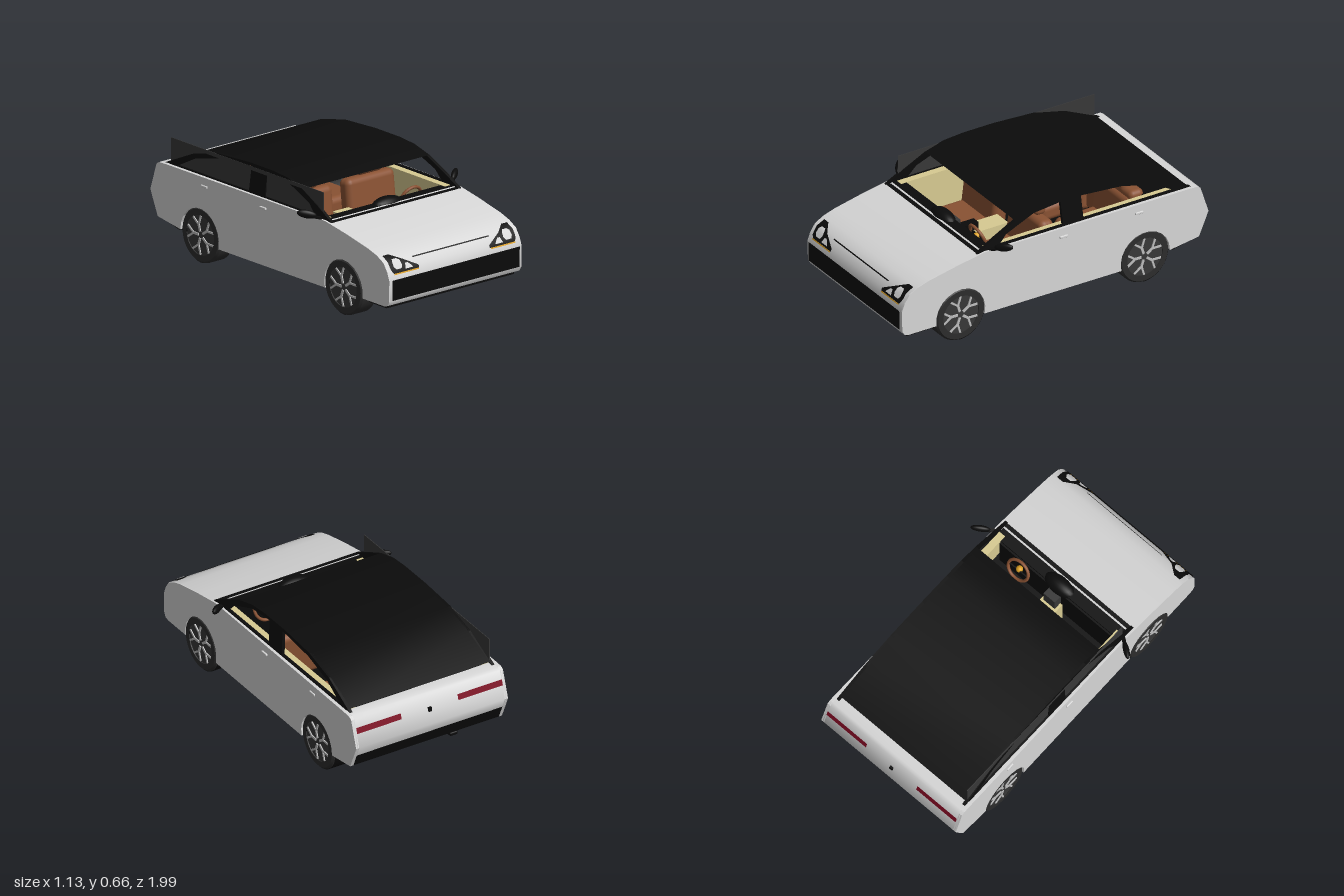
import * as THREE from 'three';
import { toCreasedNormals } from 'three/addons/utils/BufferGeometryUtils.js';
import { RoundedBoxGeometry } from 'three/addons/geometries/RoundedBoxGeometry.js';

const mat = (name, color) => {
  const m = new THREE.MeshStandardMaterial({ color, side: THREE.DoubleSide });
  m.name = name;
  return m;
};
const M = {
  paint: mat('silverPaint', 0xd6d6d6), black: mat('glossBlack', 0x0b0b0b),
  glass: mat('darkGrey', 0x383838), tyre: mat('tyreRubber', 0x2c2c2c),
  brown: mat('brownLeather', 0x8a5233), cream: mat('creamTrim', 0xd8cb92),
  amber: mat('amber', 0xdca024), red: mat('tailRed', 0x7d0a22), metal: mat('wheelSilver', 0xbdbdbd),
};

// Body outline as [z, y]
const FRONT = [[0.93, 0.128], [0.955, 0.135], [0.97, 0.16], [0.972, 0.28], [0.955, 0.325], [0.925, 0.37],
  [0.87, 0.4], [0.8, 0.422], [0.62, 0.46], [0.45, 0.49]];
const REAR = [[-0.84, 0.49], [-0.9, 0.488], [-0.92, 0.475], [-0.97, 0.32], [-0.945, 0.26], [-0.91, 0.18]];
const ROOF = [[0.24, 0.612], [0.12, 0.645], [0, 0.655], [-0.2, 0.655], [-0.45, 0.64], [-0.65, 0.592], [-0.85, 0.5]];

const zAt = (profile, y) => {
  for (let i = 1; i < profile.length; i++) {
    const [z0, y0] = profile[i - 1], [z1, y1] = profile[i];
    if ((y - y0) * (y - y1) <= 0 && y0 !== y1) return z0 + (z1 - z0) * (y - y0) / (y1 - y0);
  }
  return profile[0][0];
};

export function createModel() {
  const root = new THREE.Group();
  root.name = 'car';
  const car = new THREE.Group();
  car.name = 'carBody';
  car.rotation.y = 0.046;
  car.position.x = -0.02;
  root.add(car);

  const add = (name, geo, material, pos = [0, 0, 0], parent = car) => {
    const m = new THREE.Mesh(geo, material);
    m.name = name;
    m.position.set(...pos);
    parent.add(m);
    return m;
  };
  const box = (name, material, size, pos, parent) => add(name, new THREE.BoxGeometry(...size), material, pos, parent);
  const soft = (name, material, size, pos, r = 0.02) => add(name, new RoundedBoxGeometry(...size, 3, r), material, pos);

  // Skin spanning x0..x1 through rows of [z, y, x0, x1]
  const strip = (name, material, rows) => {
    const g = new THREE.PlaneGeometry(1, 1, 1, rows.length - 1), p = g.attributes.position;
    rows.forEach(([z, y, x0, x1], i) => {
      p.setXYZ(i * 2, x0, y, z);
      p.setXYZ(i * 2 + 1, x1, y, z);
    });
    return add(name, toCreasedNormals(g, 0.75), material);
  };
  const skin = (name, material, pts, w) => strip(name, material, pts.map(([z, y]) => [z, y, -w, w]).reverse());
  // Thin detail lying on the nose or tail: rows of [y, x0, x1]
  const patch = (name, material, profile, rows, off) =>
    strip(name, material, rows.map(([y, a, b]) => [zAt(profile, y) + off, y, a, b]));
  // Side plate cut from a [z, y] outline
  const plate = (pts, depth, holes = []) => {
    const vec = a => a.map(q => new THREE.Vector2(...q));
    const s = new THREE.Shape(vec(pts));
    holes.forEach(h => s.holes.push(new THREE.Path(vec(h))));
    return new THREE.ExtrudeGeometry(s, { depth, bevelEnabled: false }).translate(0, 0, -depth / 2).rotateY(-Math.PI / 2);
  };

  // Outer shell
  skin('bonnetAndNose', M.paint, FRONT, 0.462);
  skin('tailPanel', M.paint, REAR.slice(0, 5).reverse(), 0.472);
  skin('rearBumper', M.black, [[-0.75, 0.14], ...REAR.slice(4).reverse()], 0.468);
  box('floor', M.black, [0.91, 0.01, 1.7], [0, 0.145, 0.05]);
  box('frontUndertray', M.black, [0.9, 0.03, 0.14], [0, 0.128, 0.86]);

  // Side panels with wheel arches
  const arch = (zc, a0, a1) => Array.from({ length: 13 }, (_, i) => {
    const a = a0 + (a1 - a0) * i / 12;
    return [zc + 0.156 * Math.cos(a), 0.152 + 0.156 * Math.sin(a)];
  });
  const outline = [...[...FRONT].reverse(), ...arch(0.6, -0.15, Math.PI + 0.24), ...arch(-0.57, -0.24, Math.PI),
    ...[...REAR].reverse()];
  const frame = [[0.49, 0.485], [0.38, 0.545], ...ROOF, [-0.88, 0.485]];
  const windows = [
    [[0.35, 0.497], [0.3, 0.55], [0.12, 0.622], [-0.05, 0.638], [-0.06, 0.497]],
    [[-0.19, 0.497], [-0.18, 0.638], [-0.44, 0.617], [-0.64, 0.565], [-0.77, 0.497]]];
  for (const s of [1, -1]) {
    const side = add('sidePanel', plate(outline, 0.02), M.paint, [s * 0.465, 0, 0]);
    side.rotation.y = -s * 0.007;

    // Window frame leaning inwards
    const g = plate(frame, 0.018, windows), p = g.attributes.position;
    for (let i = 0; i < p.count; i++) p.setX(i, p.getX(i) - s * (p.getY(i) - 0.49) * 0.08);
    g.computeVertexNormals();
    add('windowFrame', g, M.black, [s * 0.45, 0, 0]);

    // Door linings, handles
    box('doorLining', M.cream, [0.05, 0.16, 1.26], [s * 0.425, 0.41, -0.21]);
    box('sillLining', M.cream, [0.012, 0.22, 0.82], [s * 0.448, 0.229, 0.015]);
    for (const z of [-0.05, -0.53]) soft('doorHandle', M.paint, [0.012, 0.014, 0.05], [s * 0.48, 0.44, z], 0.004);

    // Mirrors
    const mirror = new THREE.Group();
    mirror.name = 'wingMirror';
    mirror.position.set(s * 0.455, 0.492, 0.41);
    mirror.rotation.set(0, s * 0.65, s * 0.2);
    car.add(mirror);
    box('mirrorArm', M.black, [0.07, 0.012, 0.02], [s * 0.025, 0, 0], mirror);
    add('mirrorShell', new THREE.SphereGeometry(1, 20, 12), M.black, [s * 0.088, 0.008, 0], mirror).scale.set(0.055, 0.023, 0.017);

    // Headlights
    const lamp = (name, m, rows, off) => patch(name, m, FRONT, rows.map(([y, a, b]) => [y, s * a, s * b]), off);
    lamp('headlight', M.black, [[0.395, 0.4, 0.44], [0.37, 0.34, 0.442], [0.345, 0.29, 0.442], [0.325, 0.25, 0.438], [0.31, 0.25, 0.425]], 0.004);
    lamp('mainLamp', M.paint, [[0.378, 0.375, 0.405], [0.37, 0.362, 0.416], [0.345, 0.358, 0.418], [0.33, 0.37, 0.406]], 0.008);
    lamp('innerLamp', M.paint, [[0.35, 0.318, 0.335], [0.335, 0.3, 0.34], [0.323, 0.29, 0.345]], 0.008);
    lamp('indicator', M.amber, [[0.311, 0.255, 0.428], [0.304, 0.255, 0.428]], 0.006);

    // Tail lights
    patch('tailLight', M.red, REAR, [[0.43, s * 0.18, s * 0.462], [0.398, s * 0.18, s * 0.462]], -0.005);
  }
  patch('grille', M.black, FRONT, [[0.28, -0.45, 0.45], [0.165, -0.45, 0.45]], 0.006);
  patch('bonnetSeam', M.black, FRONT, [[0.37, -0.27, 0.27], [0.364, -0.27, 0.27]], 0.004);
  box('bootHandle', M.black, [0.02, 0.025, 0.012], [0, 0.4, -0.947]);
  soft('exhaust', M.black, [0.05, 0.022, 0.07], [-0.2, 0.14, -0.84], 0.008);

  // Roof, rear window and single side glass
  skin('roof', M.black, ROOF, 0.44);
  box('sideGlass', M.glass, [0.004, 0.15, 1.25], [-0.447, 0.561, -0.215]);

  // Wheels
  const tyreProfile = [[0.112, -0.057], [0.145, -0.057], [0.155, -0.045], [0.155, 0.045], [0.145, 0.057], [0.112, 0.057]];
  const tyreGeo = toCreasedNormals(new THREE.LatheGeometry(tyreProfile.map(q => new THREE.Vector2(...q)), 48).rotateX(Math.PI / 2), 0.6);
  for (const s of [1, -1]) for (const z of [0.6, -0.57]) {
    const wheel = new THREE.Group();
    wheel.name = 'wheel';
    wheel.position.set(s * 0.417, 0.155, z);
    wheel.rotation.y = s * Math.PI / 2;
    car.add(wheel);
    add('tyre', tyreGeo, M.tyre, [0, 0, 0], wheel);
    add('rimDisc', new THREE.CylinderGeometry(0.114, 0.114, 0.1, 40).rotateX(Math.PI / 2), M.glass, [0, 0, 0], wheel);
    for (let i = 0; i < 5; i++) {
      const spoke = new THREE.Group();
      spoke.name = 'spoke';
      spoke.rotation.z = i * Math.PI * 0.4 + 0.3;
      wheel.add(spoke);
      box('spokeStem', M.metal, [0.014, 0.045, 0.012], [0, 0.042, 0.05], spoke);
      for (const k of [1, -1])
        box('spokeFork', M.metal, [0.011, 0.056, 0.012], [k * 0.017, 0.083, 0.05], spoke).rotation.z = -k * 0.62;
    }
    add('wheelArchLiner', new THREE.CylinderGeometry(0.157, 0.157, 0.12, 28, 1, true, 0, Math.PI)
      .rotateZ(Math.PI / 2).rotateX(-Math.PI / 2 + (0)).rotateX(Math.PI / 2).rotateX(-Math.PI / 2), M.black, [s * 0.4, 0.152, z]).rotation.x = 0;
  }

  // Dashboard, console and steering wheel
  box('dashboard', M.black, [0.8, 0.26, 0.1], [0, 0.345, 0.425]);
  box('cowl', M.black, [0.88, 0.012, 0.1], [0, 0.482, 0.435]);
  add('dashHump', new THREE.SphereGeometry(1, 24, 12), M.black, [0, 0.475, 0.41]).scale.set(0.1, 0.045, 0.05);
  box('console', M.cream, [0.11, 0.2, 0.34], [0, 0.25, 0.2]);
  box('consoleScreen', M.glass, [0.08, 0.1, 0.05], [0, 0.4, 0.35]);
  box('gearSelector', M.black, [0.05, 0.04, 0.1], [0, 0.37, 0.25]);
  add('steeringRim', new THREE.TorusGeometry(0.068, 0.009, 10, 32), M.brown, [0.23, 0.445, 0.335]).rotation.x = 0.4;
  add('steeringHub', new THREE.SphereGeometry(0.02, 16, 10), M.amber, [0.23, 0.445, 0.345]);
  box('steeringSpoke', M.black, [0.12, 0.016, 0.008], [0.23, 0.445, 0.335]);

  // Seats
  for (const s of [1, -1]) {
    for (const [z, top] of [[0, 0.5], [-0.55, 0.475]]) {
      soft('seatCushion', M.brown, [0.33, 0.1, 0.3], [s * 0.22, 0.25, z + 0.15], 0.035);
      soft('seatBack', M.brown, [0.34, top - 0.2, 0.09], [s * 0.22, (top + 0.2) / 2, z + 0.005], 0.035).rotation.x = -0.12;
      soft('headrest', M.brown, [0.175, 0.065, 0.07], [s * 0.227, top + 0.033, z - 0.015], 0.025);
    }
  }
  soft('rearBench', M.brown, [0.78, 0.3, 0.09], [0, 0.365, -0.58], 0.03);
  box('parcelShelf', M.black, [0.8, 0.01, 0.26], [0, 0.48, -0.73]);
  return root;
}
